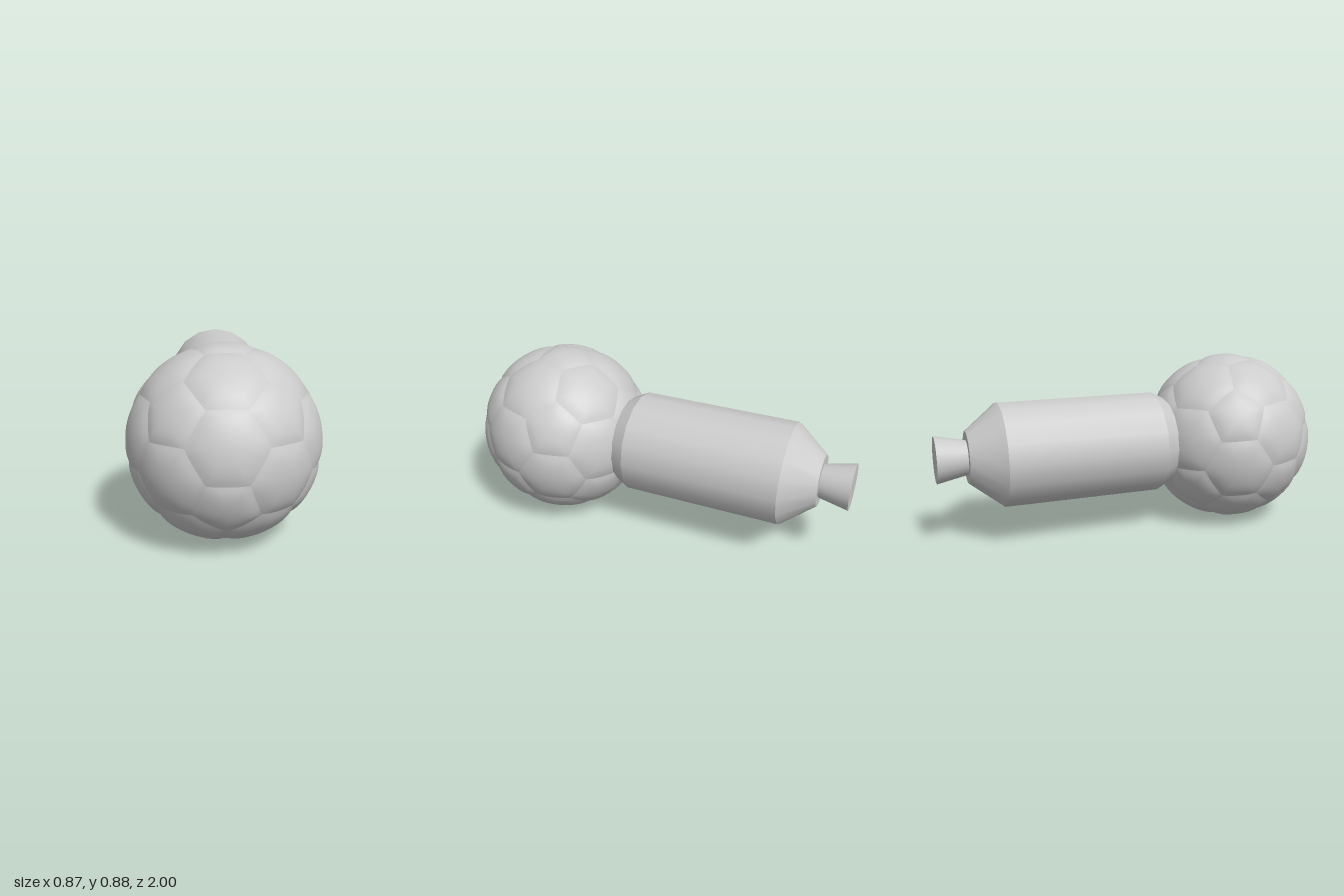
import * as THREE from 'three';

const CENTRE_Y = 0.4425, BALL_Z = 0.56, R_PANEL = 0.4425, R_SEAM = 0.433;
const material = new THREE.MeshStandardMaterial({ color: 0xcccccc });

// One bulged panel: rings from the centre out to a polygon seam.
function panelGeometry(centre, corners) {
  const rings = 6, steps = 4, n = corners.length * steps;
  const c = centre.clone().normalize();
  const u = corners[0].clone().addScaledVector(c, -corners[0].dot(c)).normalize();
  const v = c.clone().cross(u);
  const angle = (p) => Math.atan2(p.dot(v), p.dot(u));
  const loop = [...corners].sort((a, b) => angle(a) - angle(b));

  const pos = c.clone().multiplyScalar(R_PANEL).toArray(), index = [];
  for (let i = 1; i <= rings; i++) {
    const t = i / rings, radius = R_SEAM + (R_PANEL - R_SEAM) * (1 - t ** 4);
    for (let j = 0; j < n; j++) {
      const k = Math.floor(j / steps);
      const p = loop[k].clone().lerp(loop[(k + 1) % loop.length], (j % steps) / steps).normalize();
      pos.push(...c.clone().lerp(p, t).setLength(radius).toArray());
    }
  }
  const at = (i, j) => 1 + (i - 1) * n + (j % n);
  for (let j = 0; j < n; j++) {
    index.push(0, at(1, j), at(1, j + 1));
    for (let i = 1; i < rings; i++) {
      index.push(at(i, j), at(i + 1, j), at(i + 1, j + 1), at(i, j), at(i + 1, j + 1), at(i, j + 1));
    }
  }
  const g = new THREE.BufferGeometry();
  g.setAttribute('position', new THREE.Float32BufferAttribute(pos, 3));
  g.setIndex(index);
  g.computeVertexNormals();
  return g;
}

// Truncated icosahedron: 12 pentagon and 20 hexagon panels.
function createBall() {
  const ball = new THREE.Group();
  ball.name = 'ball';
  const phi = (1 + Math.sqrt(5)) / 2, verts = [];
  for (const a of [-1, 1]) for (const b of [-phi, phi]) {
    verts.push(new THREE.Vector3(0, a, b), new THREE.Vector3(a, b, 0), new THREE.Vector3(b, 0, a));
  }
  const near = (a, b) => a !== b && a.distanceTo(b) < 2.1;

  // Corners lie a third of the way along every icosahedron edge
  const corners = [];
  for (const a of verts) for (const b of verts) {
    if (near(a, b)) corners.push(a.clone().lerp(b, 1 / 3).normalize());
  }
  const addPanel = (name, centre, sides) => {
    const c = centre.clone().normalize();
    const nearest = [...corners].sort((p, q) => q.dot(c) - p.dot(c)).slice(0, sides);
    const mesh = new THREE.Mesh(panelGeometry(c, nearest), material);
    mesh.name = name;
    ball.add(mesh);
  };
  verts.forEach((p) => addPanel('pentagonPanel', p, 5));
  for (let i = 0; i < 12; i++) for (let j = i + 1; j < 12; j++) for (let k = j + 1; k < 12; k++) {
    const [a, b, c] = [verts[i], verts[j], verts[k]];
    if (near(a, b) && near(b, c) && near(a, c)) addPanel('hexagonPanel', a.clone().add(b).add(c), 6);
  }
  ball.rotation.x = THREE.MathUtils.degToRad(54);
  ball.position.set(0, CENTRE_Y, BALL_Z);
  return ball;
}

// A tapered band around the z axis
function band(name, zFront, rFront, zBack, rBack, sides, open = true) {
  const g = new THREE.CylinderGeometry(rFront, rBack, zFront - zBack, sides, 1, open);
  g.rotateX(Math.PI / 2);
  const mesh = new THREE.Mesh(g, material);
  mesh.name = name;
  mesh.position.set(0, CENTRE_Y + 0.003, (zFront + zBack) / 2);
  return mesh;
}

export function createModel() {
  const model = new THREE.Group();
  model.name = 'capsuleWithBall';
  model.add(createBall());

  // Cylindrical body with a collar in front and a tapered shoulder behind
  const body = new THREE.Group();
  body.name = 'body';
  body.add(
    band('collar', 0.18, 0.225, 0.11, 0.26, 16),
    band('barrel', 0.11, 0.26, -0.69, 0.26, 16),
    band('shoulder', -0.69, 0.26, -0.85, 0.13, 16),
  );
  const backPlate = new THREE.Mesh(new THREE.CircleGeometry(0.13, 16), material);
  backPlate.name = 'backPlate';
  backPlate.rotation.set(0, Math.PI, Math.PI / 2);
  backPlate.position.set(0, CENTRE_Y + 0.003, -0.85);
  body.add(backPlate);
  model.add(body);

  // Flared nozzle with a closed end
  model.add(band('nozzle', -0.85, 0.085, -1, 0.116, 24, false));
  return model;
}
